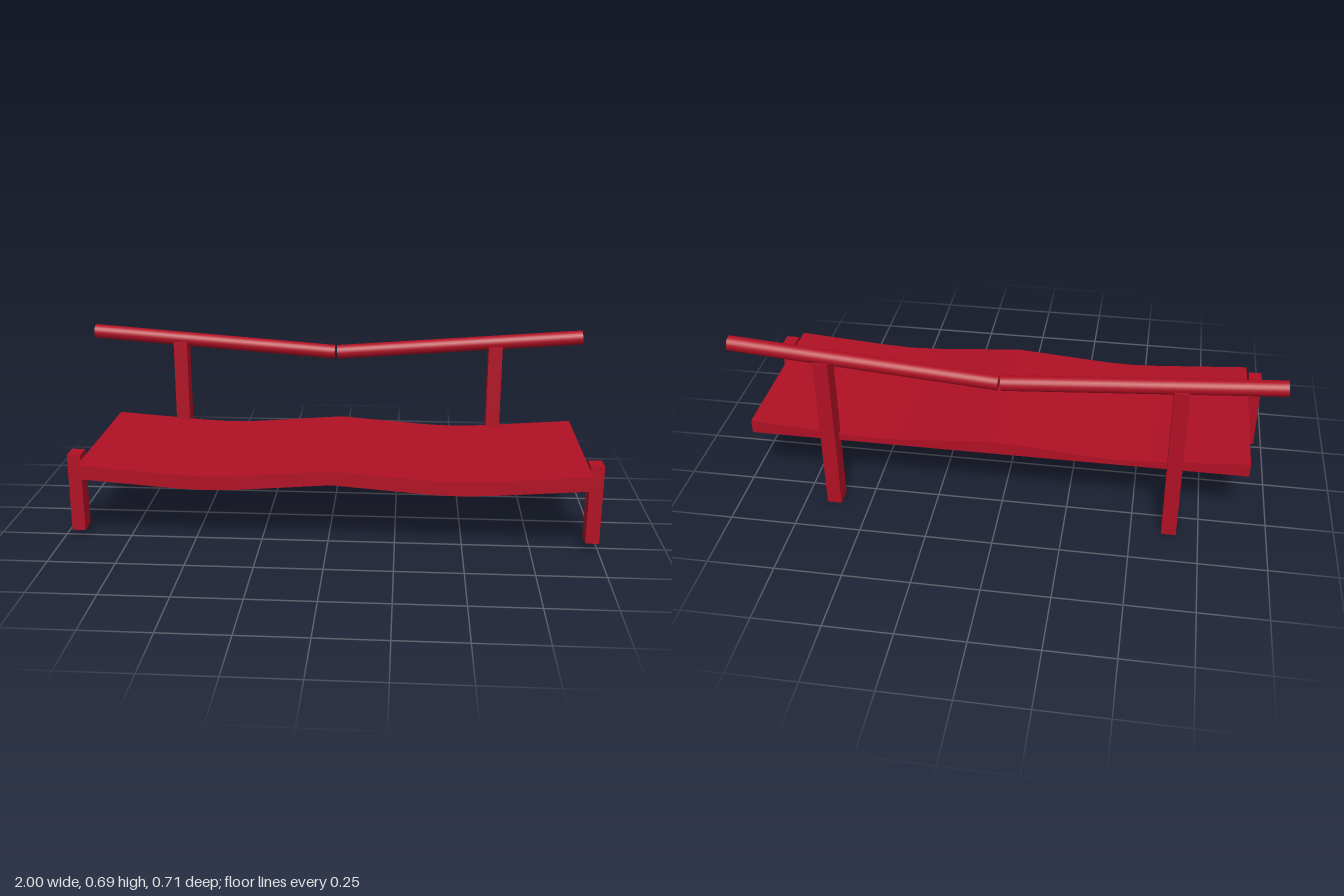
import * as THREE from 'three';

const red = new THREE.MeshStandardMaterial({ color: 0xb01024 });
red.name = 'red paint';

function add(group, name, geometry, x, y, z) {
  const mesh = new THREE.Mesh(geometry, red);
  mesh.name = name;
  mesh.position.set(x, y, z);
  group.add(mesh);
  return mesh;
}

// Plank with two shallow dips; the underside flattens out toward the back
function seatGeometry() {
  const mid = 0.02, front = 0.355, back = -0.305;
  const stations = [
    [-0.93, 0], [-0.58, 0.026], [-0.47, 0.031], [-0.36, 0.028], [0, 0],
    [0.36, 0.028], [0.47, 0.031], [0.58, 0.026], [0.93, 0],
  ];
  const rings = stations.map(([x, dip]) => [
    [x + mid, 0.318 - dip, front],
    [x + mid, 0.318 - dip, back],
    [x + mid, 0.264, back],
    [x + mid, 0.265 - dip, front],
  ]);
  const positions = [];
  const quad = (a, b, c, d) => positions.push(...a, ...b, ...c, ...a, ...c, ...d);
  for (let i = 0; i < rings.length - 1; i++) {
    const p = rings[i], q = rings[i + 1];
    for (let k = 0; k < 4; k++) {
      const n = (k + 1) % 4;
      quad(p[k], q[k], q[n], p[n]);
    }
  }
  const first = rings[0], last = rings[rings.length - 1];
  quad(first[0], first[1], first[2], first[3]);
  quad(last[3], last[2], last[1], last[0]);
  const geometry = new THREE.BufferGeometry();
  geometry.setAttribute('position', new THREE.Float32BufferAttribute(positions, 3));
  geometry.computeVertexNormals();
  return geometry;
}

// Round bar between two points
function addRail(group, name, from, to) {
  const a = new THREE.Vector3(...from), b = new THREE.Vector3(...to);
  const dir = b.clone().sub(a);
  const center = a.add(b).multiplyScalar(0.5);
  const bar = add(group, name, new THREE.CylinderGeometry(0.028, 0.028, dir.length(), 24),
    center.x, center.y, center.z);
  bar.quaternion.setFromUnitVectors(new THREE.Vector3(0, 1, 0), dir.normalize());
}

export function createModel() {
  const bench = new THREE.Group();
  bench.name = 'bench';

  add(bench, 'seat', seatGeometry(), 0, 0, 0);

  // Tall back posts and short front legs
  for (const [side, postX, legX] of [['right', -0.642, -0.94], ['left', 0.638, 0.975]]) {
    add(bench, side + 'BackPost', new THREE.BoxGeometry(0.055, 0.626, 0.07), postX, 0.313, -0.32);
    add(bench, side + 'FrontLeg', new THREE.BoxGeometry(0.05, 0.3, 0.07), legX, 0.185, 0.255);
  }

  // Two-part backrest rail, meeting low at the middle
  addRail(bench, 'rightBackRail', [-0.998, 0.661, -0.32], [-0.011, 0.589, -0.32]);
  addRail(bench, 'leftBackRail', [0, 0.589, -0.32], [0.983, 0.665, -0.32]);

  return bench;
}
